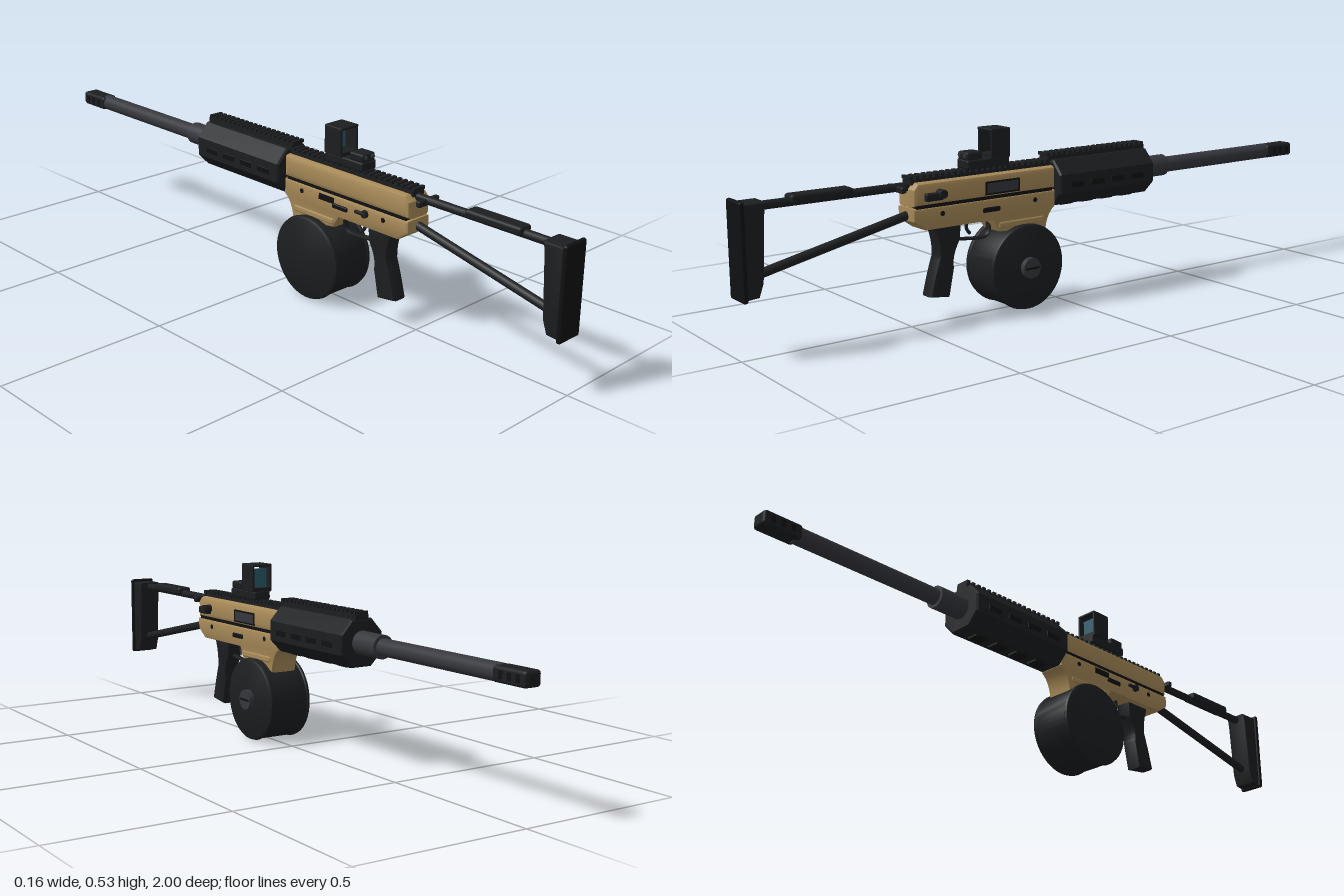
import * as THREE from 'three';
import { toCreasedNormals } from 'three/addons/utils/BufferGeometryUtils.js';
import { RoundedBoxGeometry } from 'three/addons/geometries/RoundedBoxGeometry.js';

const mat = (color) => new THREE.MeshStandardMaterial({ color });

export function createModel() {
  const model = new THREE.Group();
  const body = new THREE.Group();
  body.name = 'body';
  body.position.x = -0.009;
  model.add(body);

  const black = mat(0x1c1e20), dark = mat(0x101112), steel = mat(0x36373d);
  const tan = mat(0xa88a58), glass = mat(0x2b5a6c), red = mat(0xd02020);

  const add = (name, geo, material, x = 0, y = 0, z = 0) => {
    const m = new THREE.Mesh(geo, material);
    m.name = name;
    m.position.set(x, y, z);
    body.add(m);
    return m;
  };
  const box = (name, material, w, h, d, x, y, z, r = 0) =>
    add(name, r ? new RoundedBoxGeometry(w, h, d, 2, r) : new THREE.BoxGeometry(w, h, d), material, x, y, z);
  const rod = (name, material, r, z0, z1, y, seg = 28, x = 0) =>
    add(name, new THREE.CylinderGeometry(r, r, Math.abs(z1 - z0), seg).rotateX(Math.PI / 2), material, x, y, (z0 + z1) / 2);
  const pin = (name, material, r, len, x, y, z) =>
    add(name, new THREE.CylinderGeometry(r, r, len, 18).rotateZ(Math.PI / 2), material, x, y, z);
  // Side outline in (z, y), extruded across x and bevelled inward
  const slab = (name, material, shape, width, bevel = 0.008) => {
    const g = new THREE.ExtrudeGeometry(shape, {
      depth: width - 2 * bevel, bevelEnabled: true, bevelSize: bevel, bevelThickness: bevel,
      bevelOffset: -bevel, bevelSegments: 2, curveSegments: 10,
    });
    g.translate(0, 0, bevel - width / 2).rotateY(-Math.PI / 2);
    return add(name, toCreasedNormals(g, 0.5), material);
  };
  const poly = (...pts) => new THREE.Shape(pts.map(([a, b]) => new THREE.Vector2(a, b)));

  // Upper and lower receiver with a fine seam between them
  slab('upperReceiver', tan, poly([0.505, 0.337], [0.505, 0.385], [0.49, 0.402], [0.025, 0.402], [0.025, 0.337]), 0.086, 0.014);
  box('receiverSeam', dark, 0.078, 0.012, 0.46, 0, 0.335, 0.265);
  const lower = new THREE.Shape();
  lower.moveTo(0.505, 0.333);
  lower.lineTo(0.505, 0.298);
  lower.lineTo(0.465, 0.27);
  lower.lineTo(0.245, 0.27);
  lower.lineTo(0.225, 0.235);
  lower.lineTo(0.06, 0.215);
  lower.quadraticCurveTo(0.055, 0.265, 0.025, 0.285);
  lower.lineTo(0.025, 0.333);
  slab('lowerReceiver', tan, lower, 0.086, 0.008);
  box('magazineWell', tan, 0.092, 0.02, 0.16, 0, 0.253, 0.148, 0.006);

  // Top rails: a base with evenly spaced teeth
  const rail = (name, z0, z1, y, w) => {
    box(name, black, w, 0.016, z1 - z0, 0, y, (z0 + z1) / 2);
    for (let z = z0 + 0.008; z < z1; z += 0.02) box(name + 'Tooth', black, w, 0.009, 0.011, 0, y + 0.012, z);
  };
  rail('receiverRail', 0.03, 0.5, 0.403, 0.042);
  rail('handguardRail', -0.333, 0.035, 0.422, 0.042);

  // Eight-sided handguard with slots
  const guard = poly([-0.07, 0.322], [-0.034, 0.285], [0.034, 0.285], [0.07, 0.322],
    [0.07, 0.378], [0.034, 0.418], [-0.034, 0.418], [-0.07, 0.378]);
  add('handguard', new THREE.ExtrudeGeometry(guard, {
    depth: 0.352, bevelEnabled: true, bevelSize: 0.005, bevelThickness: 0.005, bevelOffset: -0.005, bevelSegments: 1,
  }), black, 0, 0, -0.329);
  for (let i = 0; i < 4; i++) {
    const z = -0.035 - i * 0.077;
    for (const s of [-1, 1]) box('handguardSlot', dark, 0.004, 0.017, 0.05, s * 0.0695, 0.347, z, 0.0018);
    box('handguardLowerLug', dark, 0.036, 0.008, 0.045, 0, 0.283, z);
  }

  // Barrel and muzzle device
  rod('barrelShoulder', steel, 0.033, -0.33, -0.43, 0.353);
  rod('barrel', steel, 0.024, -0.42, -0.9, 0.353);
  box('muzzleDevice', black, 0.052, 0.042, 0.115, 0, 0.353, -0.9425, 0.009);
  for (let i = 0; i < 3; i++) box('muzzlePort', dark, 0.054, 0.02, 0.014, 0, 0.353, -0.915 - i * 0.03);
  rod('bore', dark, 0.012, -0.99, -1.0, 0.353, 18);

  // Drum magazine, turned about the x axis
  const drum = [[0, -0.071], [0.116, -0.071], [0.123, -0.067], [0.125, -0.06], [0.122, -0.056],
    [0.122, 0.056], [0.125, 0.06], [0.123, 0.067], [0.116, 0.071], [0, 0.071]];
  const drumGeo = new THREE.LatheGeometry(drum.map(([r, h]) => new THREE.Vector2(r, h)), 48);
  add('drumMagazine', toCreasedNormals(drumGeo.rotateZ(-Math.PI / 2), 0.6), black, 0, 0.125, 0.143);
  pin('drumKnob', steel, 0.03, 0.018, 0.078, 0.125, 0.143);
  box('drumKnobSlot', dark, 0.003, 0.006, 0.048, 0.087, 0.125, 0.143);

  // Pistol grip, trigger and guard
  const grip = new THREE.Shape();
  grip.moveTo(0.428, 0.275);
  grip.lineTo(0.34, 0.275);
  grip.lineTo(0.345, 0.225);
  grip.quadraticCurveTo(0.372, 0.18, 0.365, 0.15);
  grip.lineTo(0.382, 0.066);
  grip.lineTo(0.446, 0.075);
  grip.quadraticCurveTo(0.43, 0.14, 0.414, 0.185);
  grip.quadraticCurveTo(0.412, 0.225, 0.428, 0.265);
  slab('pistolGrip', black, grip, 0.052, 0.01);
  const guardPath = new THREE.CatmullRomCurve3([[0.35, 0.226], [0.32, 0.221], [0.25, 0.219], [0.237, 0.23], [0.234, 0.272]]
    .map(([z, y]) => new THREE.Vector3(0, y, z)));
  add('triggerGuard', new THREE.TubeGeometry(guardPath, 24, 0.005, 8), black).scale.x = 2.2;
  const triggerPath = new THREE.QuadraticBezierCurve3(
    new THREE.Vector3(0, 0.275, 0.305), new THREE.Vector3(0, 0.25, 0.318), new THREE.Vector3(0, 0.234, 0.298));
  add('trigger', new THREE.TubeGeometry(triggerPath, 10, 0.005, 8), black);

  // Controls
  box('ejectionPort', dark, 0.004, 0.038, 0.118, 0.0425, 0.364, 0.214);
  box('boltCover', steel, 0.005, 0.028, 0.106, 0.043, 0.364, 0.214);
  box('sideLatch', black, 0.018, 0.022, 0.055, 0.05, 0.363, 0.446, 0.005);
  pin('sideKnob', black, 0.012, 0.03, 0.054, 0.37, 0.425);
  box('magazineRelease', dark, 0.012, 0.014, 0.058, 0.042, 0.303, 0.253, 0.004);
  box('leftRelease', dark, 0.012, 0.014, 0.058, -0.042, 0.303, 0.253, 0.004);
  box('leftPort', dark, 0.004, 0.018, 0.06, -0.0425, 0.316, 0.2);
  pin('leftSelectorHub', black, 0.011, 0.012, -0.046, 0.312, 0.35);
  box('leftSelector', black, 0.008, 0.01, 0.04, -0.049, 0.312, 0.335, 0.003);
  for (const z of [0.1, 0.415]) pin('takedownPin', dark, 0.007, 0.088, 0, 0.312, z);
  box('chargingHandle', black, 0.08, 0.018, 0.016, 0, 0.388, 0.532, 0.005);
  box('chargingHandleStem', black, 0.026, 0.016, 0.04, 0, 0.388, 0.515);

  // Skeleton stock
  rod('stockTube', black, 0.012, 0.49, 0.95, 0.391, 16);
  box('cheekRest', black, 0.046, 0.024, 0.178, 0, 0.399, 0.762, 0.008);
  const strutAngle = Math.atan2(0.1, 0.46);
  const strut = rod('stockStrut', black, 0.0125, -0.235, 0.235, 0, 16);
  strut.position.set(0, 0.262, 0.726);
  strut.rotation.x = strutAngle;
  slab('stockFrame', black, poly([0.99, 0.405], [0.926, 0.405], [0.93, 0.375], [0.94, 0.2], [0.953, 0.163], [0.99, 0.16]), 0.07, 0.006);
  box('buttPad', dark, 0.082, 0.258, 0.014, 0, 0.284, 0.993, 0.006);

  // Reflex sight
  box('sightMount', black, 0.056, 0.026, 0.142, 0, 0.432, 0.249, 0.005);
  box('sightEmitter', black, 0.05, 0.024, 0.052, 0, 0.455, 0.293, 0.006);
  for (const s of [-1, 1]) {
    box('sightHoodSide', black, 0.007, 0.078, 0.064, s * 0.0305, 0.483, 0.212, 0.002);
    rod('sightAdjuster', steel, 0.006, 0.315, 0.322, 0.457, 14, s * 0.013);
  }
  box('sightHoodTop', black, 0.068, 0.008, 0.066, 0, 0.523, 0.212, 0.003);
  box('sightHoodFloor', black, 0.06, 0.012, 0.064, 0, 0.449, 0.212);
  box('sightLens', glass, 0.056, 0.058, 0.004, 0, 0.484, 0.2);
  for (let i = 0; i < 9; i++) {
    const a = (i * Math.PI) / 4, r = i < 8 ? 0.013 : 0;
    add('reticleDot', new THREE.CircleGeometry(i < 8 ? 0.0013 : 0.0025, 10), red,
      r * Math.cos(a), 0.482 + r * Math.sin(a), 0.2025);
  }
  return model;
}
